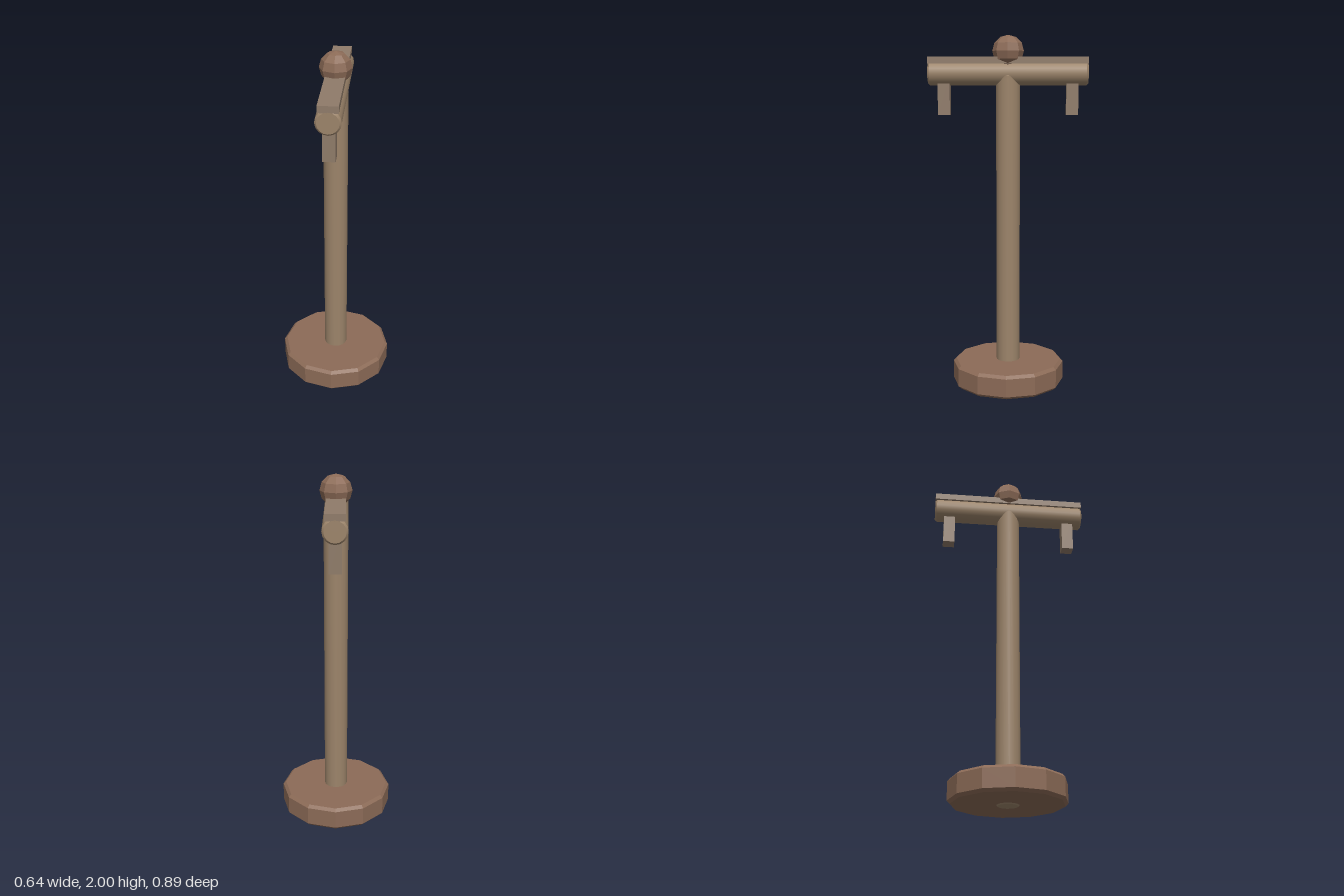
import * as THREE from 'three';

const paint = (color, flatShading) => new THREE.MeshStandardMaterial({ color, flatShading });

export function createModel() {
  const group = new THREE.Group();
  const wood = paint(0x9c846a, false);
  const slatWood = paint(0x8f7b69, true);
  const darkWood = paint(0x8c6b57, true);

  const add = (name, geometry, material, x, y, z) => {
    const mesh = new THREE.Mesh(geometry, material);
    mesh.name = name;
    mesh.position.set(x, y, z);
    group.add(mesh);
    return mesh;
  };

  // Upright cylinder with chamfered ends; doubled corners keep the edges sharp
  const chamfered = (radius, height, bevel, sides) => {
    const points = [
      [0, 0], [radius - bevel, 0], [radius - bevel, 0], [radius, bevel], [radius, bevel],
      [radius, height - bevel], [radius, height - bevel],
      [radius - bevel, height], [radius - bevel, height], [0, height],
    ].map(([r, y]) => new THREE.Vector2(r, y));
    return new THREE.LatheGeometry(points, sides);
  };

  // Twelve-sided foot
  add('base', chamfered(0.32, 0.135, 0.016, 12), darkWood, 0, 0.006, 0);

  // Upright post, running through the foot up into the crossbar
  add('post', chamfered(0.067, 1.79, 0.012, 16), wood, 0, 0, 0);

  // Round crossbar, front to back
  const bar = add('crossbar', chamfered(0.067, 0.89, 0.01, 16), wood, 0, 1.79, -0.445);
  bar.rotation.x = Math.PI / 2;

  // Flat slat on top of the crossbar
  add('topSlat', new THREE.BoxGeometry(0.106, 0.037, 0.89), slatWood, 0, 1.861, 0);

  // Square pegs hanging under both ends
  for (const [name, side] of [['frontPeg', 1], ['backPeg', -1]]) {
    add(name, new THREE.BoxGeometry(0.067, 0.2, 0.067), slatWood, 0, 1.66, side * 0.357);
  }

  // Faceted ball finial
  add('finial', new THREE.SphereGeometry(0.088, 8, 6), darkWood, 0, 1.912, 0);

  return group;
}
